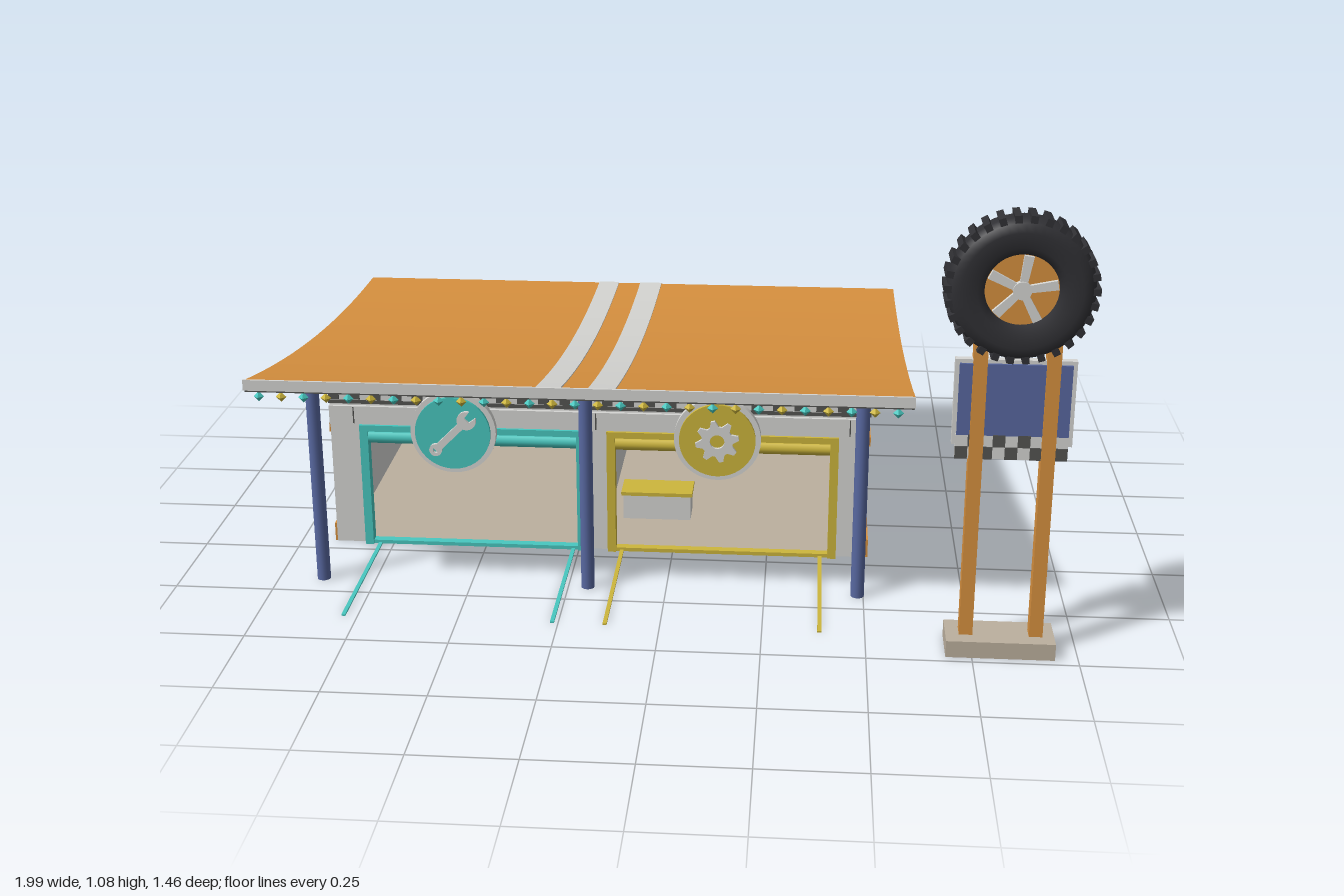
import * as THREE from 'three';

const mat = (name, color, double) => {
  const m = new THREE.MeshStandardMaterial({ color });
  m.name = name;
  if (double) m.side = THREE.DoubleSide;
  return m;
};

export function createModel() {
  const root = new THREE.Group();
  root.name = 'garageShop';
  const orange = mat('orange paint', 0xd8913f);
  const white = mat('off white', 0xd6d6d3);
  const dark = mat('dark grey', 0x545452);
  const blue = mat('slate blue', 0x5868a0);
  const teal = mat('teal', 0x48c8c0);
  const yellow = mat('yellow', 0xcdb63c);
  const rubber = mat('black rubber', 0x303034);
  const beige = mat('beige concrete', 0xbcb09e);

  const group = (name) => {
    const g = new THREE.Group();
    g.name = name;
    root.add(g);
    return g;
  };
  const add = (parent, name, geo, material) => {
    const m = new THREE.Mesh(geo, material);
    m.name = name;
    parent.add(m);
    return m;
  };
  // box given by its limits on each axis
  const box = (parent, name, material, x0, x1, y0, y1, z0, z1) => {
    const m = add(parent, name, new THREE.BoxGeometry(x1 - x0, y1 - y0, z1 - z0), material);
    m.position.set((x0 + x1) / 2, (y0 + y1) / 2, (z0 + z1) / 2);
    return m;
  };
  const post = (parent, name, material, x, z, y0, y1, r) => {
    const m = add(parent, name, new THREE.CylinderGeometry(r, r, y1 - y0, 16), material);
    m.position.set(x, (y0 + y1) / 2, z);
    return m;
  };
  // dark squares of a two-row checker on a front face
  const checker = (parent, x0, x1, y0, y1, z, rows) => {
    const h = (y1 - y0) / rows, n = Math.round((x1 - x0) / h), w = (x1 - x0) / n;
    for (let r = 0; r < rows; r++)
      for (let i = r % 2; i < n; i += 2)
        box(parent, 'checkerSquare', dark, x0 + i * w, x0 + (i + 1) * w, y0 + r * h, y0 + (r + 1) * h, z, z + 0.003);
  };

  // Building shell
  const shell = group('building');
  const L = -0.905, R = 0.51, B = -0.665, F = 0.2;
  box(shell, 'floor', beige, L + 0.01, R - 0.01, 0.002, 0.008, B + 0.01, F);
  box(shell, 'backWall', white, L, R, 0, 0.395, B, B + 0.03);
  box(shell, 'leftWall', white, R - 0.03, R, 0, 0.395, B, F);
  box(shell, 'rightWall', white, L, L + 0.03, 0, 0.395, B, F);
  box(shell, 'dividingWall', white, -0.215, -0.19, 0.008, 0.395, B, F);
  box(shell, 'ceilingSlab', white, L, R, 0.388, 0.397, B, F);
  box(shell, 'roofEdge', dark, L - 0.003, R + 0.003, 0.397, 0.408, B - 0.003, F + 0.003);
  for (const [a, b] of [[L, -0.82], [-0.235, -0.17], [0.43, R]])
    box(shell, 'frontPier', white, a, b, 0, 0.36, 0.16, F + 0.002);
  box(shell, 'lintel', white, L, R, 0.34, 0.392, 0.165, F + 0.01);
  box(shell, 'parapet', white, L, R, 0.408, 0.465, 0.175, 0.205);
  checker(shell, L, R, 0.41, 0.465, 0.205, 2);
  for (const x of [-0.84, -0.6, -0.2, 0.16, 0.46])
    box(shell, 'panelJoint', dark, x - 0.0015, x + 0.0015, 0.345, 0.39, F + 0.01, F + 0.012);
  for (const x of [L - 0.004, R])
    box(shell, 'sideStripe', orange, x, x + 0.004, 0.315, 0.34, B, F);
  for (const x of [L - 0.006, R])
    box(shell, 'sideSkirting', orange, x, x + 0.006, 0, 0.05, B - 0.006, F);
  box(shell, 'backSkirting', orange, L, R, 0, 0.05, B - 0.006, B);

  // Curved canopy roof, swept along x
  const roof = group('canopyRoof');
  const roofY = (z) => {
    const t = (z + 0.73) / 1.34;
    return 0.452 + 0.008 * t + 0.147 * t * t;
  };
  const sweep = (name, material, x0, x1, top, bottom) => {
    const s = new THREE.Shape(), N = 20;
    const zAt = (i) => -0.73 + (1.335 * i) / N;
    for (let i = 0; i <= N; i++) s.lineTo(-zAt(i), roofY(zAt(i)) + top);
    for (let i = N; i >= 0; i--) s.lineTo(-zAt(i), roofY(zAt(i)) + bottom);
    // replace the implicit origin start of the outline
    const shape = new THREE.Shape(s.getPoints().slice(1));
    const g = new THREE.ExtrudeGeometry(shape, { depth: x1 - x0, bevelEnabled: false });
    g.rotateY(Math.PI / 2).translate(x0, 0, 0);
    add(roof, name, g, material);
  };
  sweep('roofSheet', orange, -1, 0.6, 0, -0.025);
  sweep('roofUnderside', dark, -0.998, 0.598, -0.025, -0.029);
  sweep('roofStripe', white, -0.295, -0.235, 0.003, 0);
  sweep('roofStripe', white, -0.17, -0.105, 0.003, 0);
  box(roof, 'fascia', white, -1, 0.6, 0.582, 0.609, 0.604, 0.61);

  // Canopy posts and short roof struts
  for (const x of [-0.885, -0.2, 0.485]) {
    post(roof, 'canopyPost', blue, x, 0.425, 0, roofY(0.425) - 0.026, 0.017);
    for (const z of [-0.235, -0.6]) post(roof, 'roofStrut', blue, x, z, 0.4, roofY(z) - 0.026, 0.01);
  }

  // String of lights
  const lights = group('lightString');
  box(lights, 'lightCable', dark, -0.98, 0.58, 0.576, 0.579, 0.598, 0.602);
  for (let i = 0; i < 29; i++) {
    const m = add(lights, 'light', new THREE.OctahedronGeometry(0.013), i % 2 ? yellow : teal);
    m.position.set(-0.965 + i * 0.0545, 0.565, 0.6);
  }

  // Bay frames with rolled shutters and ground lines
  const bay = (name, material, x0, x1, lines) => {
    const g = group(name);
    for (const x of [x0, x1 - 0.022]) box(g, 'frameSide', material, x, x + 0.022, 0, 0.342, 0.19, 0.218);
    box(g, 'frameTop', material, x0, x1, 0.325, 0.342, 0.19, 0.218);
    const roll = add(g, 'rolledShutter', new THREE.CylinderGeometry(0.018, 0.018, x1 - x0 - 0.044, 16), material);
    roll.rotation.z = Math.PI / 2;
    roll.position.set((x0 + x1) / 2, 0.306, 0.2);
    box(g, 'threshold', material, x0, x1, 0, 0.01, 0.19, 0.212);
    for (const x of lines) box(g, 'groundLine', material, x - 0.005, x + 0.005, 0, 0.004, 0.2, 0.63);
  };
  bay('tealBay', teal, -0.825, -0.23, [-0.785, -0.265]);
  bay('yellowBay', yellow, -0.172, 0.432, [-0.135, 0.39]);

  // Workshop
  const shop = group('workshop');
  box(shop, 'pegboard', blue, -0.71, -0.34, 0.1, 0.26, -0.635, -0.62);
  box(shop, 'pegboardTop', blue, -0.74, -0.31, 0.26, 0.285, -0.635, -0.6);
  for (const x of [-0.74, -0.34]) box(shop, 'cabinetSide', blue, x, x + 0.03, 0.008, 0.285, -0.635, -0.55);
  box(shop, 'workbench', white, -0.71, -0.34, 0.008, 0.09, -0.635, -0.53);
  box(shop, 'benchTop', white, -0.71, -0.34, 0.09, 0.105, -0.635, -0.51);
  box(shop, 'crate', orange, -0.32, -0.255, 0.008, 0.08, -0.6, -0.52);
  for (let i = 0; i < 6; i++) {
    const y = i % 2 ? 0.17 : 0.15;
    box(shop, 'hangingTool', white, -0.685 + i * 0.063, -0.675 + i * 0.063, y, y + 0.07, -0.62, -0.61);
  }

  // Store shelves and counter
  const store = group('store');
  for (const [a, b] of [[-0.15, 0.035], [0.05, 0.205], [0.225, 0.41]]) {
    for (const y of [0.04, 0.11, 0.185]) {
      box(store, 'shelf', white, a, b, y, y + 0.008, -0.63, -0.54);
      for (let i = 0; i < 4; i++) {
        const x = a + ((i + 0.5) * (b - a)) / 4, c = a === 0.05 ? orange : yellow;
        if (i % 2) box(store, 'stockBox', c, x - 0.018, x + 0.018, y + 0.008, y + 0.035, -0.6, -0.55);
        else box(store, 'stockTyre', rubber, x - 0.01, x + 0.01, y + 0.008, y + 0.05, -0.61, -0.56);
      }
    }
  }
  for (const x of [0.042, 0.215]) box(store, 'shelfUpright', blue, x - 0.008, x + 0.008, 0.008, 0.25, -0.635, -0.53);
  box(store, 'counter', white, -0.15, 0.035, 0.008, 0.078, -0.06, 0.02);
  box(store, 'counterTop', yellow, -0.155, 0.04, 0.078, 0.088, -0.065, 0.025);
  box(store, 'displayStand', blue, 0.09, 0.17, 0.008, 0.075, -0.46, -0.38);
  box(store, 'displayBox', white, 0.09, 0.17, 0.075, 0.125, -0.46, -0.38);
  box(store, 'displayTop', orange, 0.105, 0.155, 0.125, 0.155, -0.44, -0.4);

  // Round hanging signs
  const medallion = (name, material, x) => {
    const g = group(name);
    g.position.set(x, 0.43, 0.455);
    const disc = (part, m, r, z, d) => {
      const c = add(g, part, new THREE.CylinderGeometry(r, r, d, 40), m);
      c.rotation.x = Math.PI / 2;
      c.position.z = z;
    };
    disc('backPlate', white, 0.107, 0, 0.018);
    disc('facePlate', material, 0.094, 0.008, 0.018);
    return g;
  };
  const flat = (shape, d) => new THREE.ExtrudeGeometry(shape, { depth: d, bevelEnabled: false });
  const wrenchSign = medallion('wrenchSign', teal, -0.525);
  const wrench = new THREE.Group();
  wrench.name = 'wrench';
  wrench.rotation.z = -Math.PI / 4;
  wrench.position.z = 0.017;
  wrenchSign.add(wrench);
  box(wrench, 'wrenchHandle', white, -0.009, 0.009, -0.06, 0.05, 0, 0.008);
  const jaw = new THREE.Shape();
  jaw.absarc(0, 0, 0.024, Math.PI * 0.65, Math.PI * 2.35, false);
  jaw.lineTo(0.008, 0);
  jaw.lineTo(-0.008, 0);
  add(wrench, 'wrenchJaw', flat(jaw, 0.008), white).position.y = 0.052;
  const ring = new THREE.Shape().absarc(0, 0, 0.016, 0, Math.PI * 2);
  ring.holes.push(new THREE.Path().absarc(0, 0, 0.007, 0, Math.PI * 2, true));
  add(wrench, 'wrenchRing', flat(ring, 0.008), white).position.y = -0.06;

  const gearSign = medallion('gearSign', yellow, 0.13);
  const teeth = [];
  for (let i = 0; i < 32; i++) {
    const a = ((i + 0.5) / 32) * Math.PI * 2, r = i % 4 < 2 ? 0.054 : 0.039;
    teeth.push(new THREE.Vector2(Math.cos(a) * r, Math.sin(a) * r));
  }
  const gear = new THREE.Shape(teeth);
  gear.holes.push(new THREE.Path().absarc(0, 0, 0.018, 0, Math.PI * 2, true));
  add(gearSign, 'gear', flat(gear, 0.008), white).position.z = 0.017;

  // Roadside sign
  const sign = group('roadsideSign');
  box(sign, 'signBase', beige, 0.688, 0.945, 0, 0.042, 0.62, 0.73);
  for (const x of [0.72, 0.885]) box(sign, 'signPost', orange, x, x + 0.032, 0.042, 0.775, 0.658, 0.694);
  box(sign, 'signPanel', white, 0.68, 0.955, 0.525, 0.733, 0.664, 0.682);
  box(sign, 'signFace', blue, 0.69, 0.945, 0.55, 0.724, 0.682, 0.688);
  box(sign, 'checkerPlate', white, 0.688, 0.945, 0.492, 0.552, 0.672, 0.686);
  checker(sign, 0.688, 0.945, 0.492, 0.552, 0.686, 2);

  // Tyre with tread blocks and a spoked hub
  const wheel = group('signWheel');
  wheel.position.set(0.817, 0.907, 0.677);
  const profile = [[0.083, -0.03], [0.1, -0.04], [0.135, -0.043], [0.156, -0.036], [0.165, -0.018], [0.165, 0.018],
    [0.156, 0.036], [0.135, 0.043], [0.1, 0.04], [0.083, 0.03], [0.083, -0.03]].map((p) => new THREE.Vector2(...p));
  add(wheel, 'tyre', new THREE.LatheGeometry(profile, 48).rotateX(Math.PI / 2), rubber);
  for (let i = 0; i < 30; i++) {
    const a = (i / 30) * Math.PI * 2;
    const lug = add(wheel, 'treadBlock', new THREE.BoxGeometry(0.018, 0.016, 0.072), rubber);
    lug.position.set(Math.cos(a) * 0.164, Math.sin(a) * 0.164, 0);
    lug.rotation.z = a;
  }
  add(wheel, 'hubDisc', new THREE.CylinderGeometry(0.086, 0.086, 0.046, 40).rotateX(Math.PI / 2), orange);
  for (let i = 0; i < 5; i++) {
    const spoke = new THREE.Shape([[0, -0.008], [0.08, -0.011], [0.08, 0.011], [0, 0.008]].map((p) => new THREE.Vector2(...p)));
    const m = add(wheel, 'spoke', flat(spoke, 0.01), white);
    m.position.z = 0.023;
    m.rotation.z = 0.17 + (i / 5) * Math.PI * 2;
  }
  add(wheel, 'hubCap', new THREE.CylinderGeometry(0.021, 0.021, 0.016, 20).rotateX(Math.PI / 2), white).position.z = 0.03;

  return root;
}
